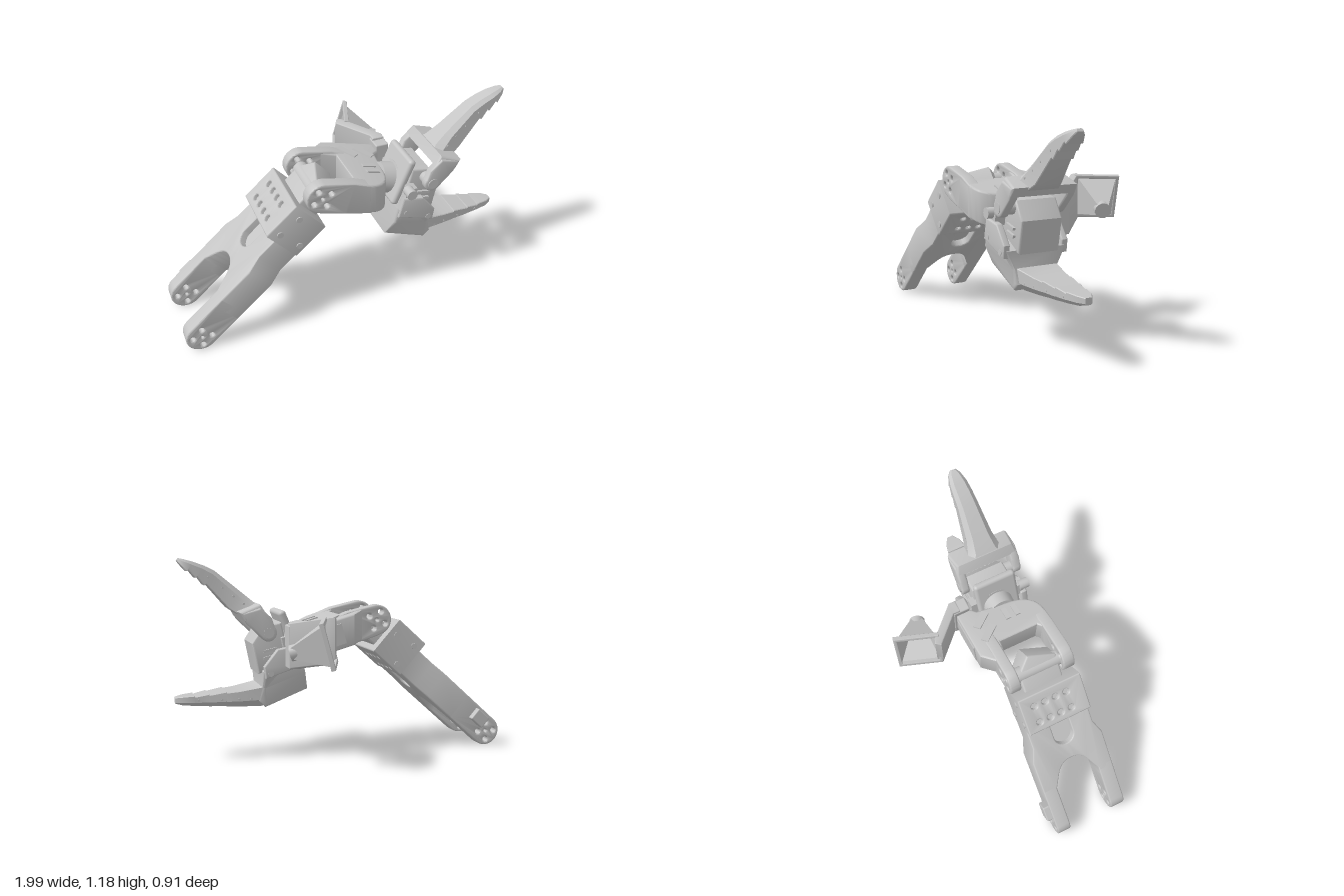
import * as THREE from 'three';
import { toCreasedNormals } from 'three/addons/utils/BufferGeometryUtils.js';
import { RoundedBoxGeometry } from 'three/addons/geometries/RoundedBoxGeometry.js';

const grey = new THREE.MeshStandardMaterial({ color: 0xc4c4c4, side: THREE.DoubleSide });
grey.name = 'machined grey';

function add(parent, name, geo, pos = [0, 0, 0], rot = [0, 0, 0]) {
  const m = new THREE.Mesh(geo, grey);
  m.name = name;
  m.position.set(...pos);
  m.rotation.set(...rot);
  parent.add(m);
  return m;
}

const poly = pts => new THREE.Shape(pts.map(p => new THREE.Vector2(...p)));

function hole(shape, x, y, r) {
  shape.holes.push(new THREE.Path().absarc(x, y, r, 0, Math.PI * 2, true));
}

// One centre hole and four around it
function boltCircle(shape, x, y, turn) {
  hole(shape, x, y, 0.009);
  for (let i = 0; i < 4; i++) {
    const a = turn + i * Math.PI / 2;
    hole(shape, x + 0.054 * Math.cos(a), y + 0.054 * Math.sin(a), 0.016);
  }
  return shape;
}

// Side outline extruded from z0 to z1 with a softened edge
function side(shape, z0, z1, b = 0.012) {
  const g = new THREE.ExtrudeGeometry(shape, {
    depth: z1 - z0 - 2 * b, bevelEnabled: b > 0, bevelSize: b, bevelThickness: b,
    bevelOffset: -b, bevelSegments: 3, curveSegments: 16,
  });
  g.translate(0, 0, z0 + b);
  return toCreasedNormals(g, 0.6);
}

// Plan outline (x, z) extruded from y0 to y1
function plan(shape, y0, y1, b = 0.012) {
  return side(shape, -y1, -y0, b).rotateX(Math.PI / 2);
}

// Moves every vertex by a rule
function bend(geo, rule) {
  const pos = geo.attributes.position, v = new THREE.Vector3();
  for (let i = 0; i < pos.count; i++) {
    rule(v.fromBufferAttribute(pos, i));
    pos.setXYZ(i, v.x, v.y, v.z);
  }
  return toCreasedNormals(geo, 0.6);
}

// Finger through stations [x, yBottom, yTop, halfWidth]; chamfered on its outer face (out = 1 top, -1 bottom)
function finger(stations, out) {
  const ring = ([x, lo, hi, w]) => {
    const c = 0.38 * Math.min(hi - lo, w), s = 0.004;
    const t = out > 0 ? c : s, b = out > 0 ? s : c;
    return [[hi - t, -w], [hi, -w + t], [hi, w - t], [hi - t, w],
      [lo + b, w], [lo, w - b], [lo, -w + b], [lo + b, -w]].map(([y, z]) => [x, y, z]);
  };
  const rings = stations.map(ring), v = [], n = 8;
  for (let i = 0; i < rings.length - 1; i++) for (let j = 0; j < n; j++) {
    const a = rings[i][j], b = rings[i][(j + 1) % n], c = rings[i + 1][j], d = rings[i + 1][(j + 1) % n];
    v.push(...a, ...b, ...d, ...a, ...d, ...c);
  }
  const s = rings[0], e = rings[rings.length - 1];
  for (let j = 1; j < n - 1; j++) v.push(...s[0], ...s[j + 1], ...s[j], ...e[0], ...e[j], ...e[j + 1]);
  const g = new THREE.BufferGeometry();
  g.setAttribute('position', new THREE.Float32BufferAttribute(v, 3));
  return toCreasedNormals(g, 0.6);
}

const zCyl = (r, len, n = 24) => new THREE.CylinderGeometry(r, r, len, n).rotateX(Math.PI / 2);

function buildForearm(root) {
  const arm = new THREE.Group();
  arm.name = 'forearm';
  arm.position.set(-0.91, 0.09, 0);
  arm.rotation.z = THREE.MathUtils.degToRad(42);
  root.add(arm);
  // Fork legs with a bolt circle in each round end
  for (const [z0, z1] of [[0, 0.085], [0.365, 0.455]]) {
    const s = new THREE.Shape();
    s.moveTo(0.26, 0.09).lineTo(0, 0.09);
    s.absarc(0, 0, 0.09, Math.PI / 2, Math.PI * 1.5, false);
    s.lineTo(0.26, -0.09);
    add(arm, 'forkLeg', side(boltCircle(s, 0, 0, -0.733), z0, z1, 0.008));
  }
  // Palm of the fork, with a rounded notch and a shallow slot on both faces
  const p = new THREE.Shape();
  p.moveTo(0.2, 0).lineTo(0.47, 0).lineTo(0.56, 0.03).lineTo(0.72, 0.03).lineTo(0.72, 0.42)
    .lineTo(0.56, 0.42).lineTo(0.47, 0.455).lineTo(0.2, 0.455).lineTo(0.2, 0.365).lineTo(0.25, 0.365);
  p.bezierCurveTo(0.33, 0.32, 0.4, 0.31, 0.4, 0.225);
  p.bezierCurveTo(0.4, 0.14, 0.33, 0.13, 0.25, 0.085);
  p.lineTo(0.2, 0.085);
  const slot = new THREE.Path();
  slot.moveTo(0.66, 0.17).lineTo(0.56, 0.17);
  slot.absarc(0.56, 0.23, 0.06, -Math.PI / 2, Math.PI / 2, true);
  slot.lineTo(0.66, 0.29);
  p.holes.push(slot);
  add(arm, 'forkPalm', plan(p, -0.09, 0.09, 0.008));
  add(arm, 'slotFloor', new THREE.BoxGeometry(0.22, 0.09, 0.18), [0.58, 0, 0.23]);
  add(arm, 'cableBoss', new RoundedBoxGeometry(0.1, 0.08, 0.05, 2, 0.008), [0.1, 0.03, -0.012]);
  // Collar with rows of pockets in its top and bottom
  const c = poly([[0.68, 0.03], [0.91, 0.03], [0.91, 0.42], [0.68, 0.42]]);
  for (const x of [0.735, 0.84]) for (let i = 0; i < 4; i++) hole(c, x, 0.11 + i * 0.067, 0.018);
  add(arm, 'collar', plan(c, -0.1, 0.15, 0.008));
  add(arm, 'collarCore', new THREE.BoxGeometry(0.21, 0.2, 0.36), [0.795, 0.025, 0.225]);
  for (const [x, y] of [[0.73, 0.09], [0.74, -0.06], [0.86, 0.07]]) for (const z of [0.03, 0.42])
    add(arm, 'collarScrew', zCyl(0.018, 0.012), [x, y, z]);
  // Elbow servo
  add(arm, 'elbowServo', plan(poly([[0.87, 0.1], [1.02, 0.1], [1.11, 0.18], [1.05, 0.34], [0.87, 0.34]]), -0.06, 0.085));
  add(arm, 'elbowShaft', zCyl(0.045, 0.28), [1.01, 0.046, 0.22]);
}

function buildWristLink(root) {
  const link = new THREE.Group();
  link.name = 'wristLink';
  root.add(link);
  // Two cheeks around the elbow
  for (const [z0, z1] of [[0.02, 0.085], [0.35, 0.42]]) {
    const s = new THREE.Shape();
    s.moveTo(0.1, 0.825).lineTo(0, 0.865);
    s.absarc(-0.185, 0.814, 0.09, 1.4, 4.2, false);
    s.bezierCurveTo(-0.15, 0.7, -0.08, 0.69, 0, 0.665);
    s.lineTo(0.1, 0.64);
    add(link, 'elbowCheek', side(boltCircle(s, -0.185, 0.814, 0.43), z0, z1, 0.008));
  }
  // Body, sheared so that it slopes down toward the wrist
  const p = new THREE.Shape();
  p.moveTo(-0.02, 0.42).lineTo(-0.02, 0.36).lineTo(0.02, 0.33).lineTo(0.02, 0.1).lineTo(-0.1, 0.08)
    .lineTo(-0.1, 0.03).lineTo(-0.02, -0.045).lineTo(0.33, -0.045).lineTo(0.33, 0.02).lineTo(0.27, 0.07).lineTo(0.24, 0.28);
  p.bezierCurveTo(0.22, 0.37, 0.18, 0.42, 0.08, 0.42);
  add(link, 'linkBody', bend(plan(p, 0.67, 0.855), v => { v.y -= 0.28 * v.x; }));
  // Raised ribs on the top and a cover on the back
  const tilt = -Math.atan(0.28);
  const rib = (x, z, w, d, turn) => {
    const geo = new THREE.BoxGeometry(w, 0.016, d).rotateY(turn);
    add(link, 'topRib', geo, [x, 0.855 - 0.28 * x, z], [0, 0, tilt]);
  };
  rib(0.1, 0.065, 0.12, 0.045, -0.85);
  rib(0.2, 0.065, 0.12, 0.045, -0.85);
  rib(0.17, 0.21, 0.08, 0.03, 0);
  rib(0.17, 0.27, 0.08, 0.03, 0);
  add(link, 'backCover', new THREE.BoxGeometry(0.22, 0.12, 0.009), [0.15, 0.72, -0.047], [0, 0, tilt]);
  // Wrist joint
  const wrist = new THREE.Group();
  wrist.name = 'wristJoint';
  wrist.position.set(0.28, 0.71, 0.22);
  wrist.rotation.z = -0.3;
  link.add(wrist);
  add(wrist, 'wristDrum', new THREE.CylinderGeometry(0.085, 0.095, 0.12, 32).rotateZ(Math.PI / 2));
  add(wrist, 'wristFlange', new THREE.CylinderGeometry(0.105, 0.105, 0.03, 32).rotateZ(Math.PI / 2), [0.03, 0, 0]);
}

function buildCamera(root) {
  const cam = new THREE.Group();
  cam.name = 'cameraMount';
  root.add(cam);
  add(cam, 'mountPlate', new RoundedBoxGeometry(0.08, 0.25, 0.1, 2, 0.008), [0.335, 0.68, -0.01]);
  // Slanted bracket
  const b = plan(poly([[0.3, -0.02], [0.3, -0.06], [0.14, -0.21], [0.16, -0.24], [0.19, -0.23], [0.37, -0.06], [0.37, -0.02]]), 0.56, 0.82, 0.006);
  add(cam, 'bracket', bend(b, v => { v.y += 0.28 * Math.max(0, -0.08 - v.z); }));
  // Hollow square hood narrowing to a round lens
  const hood = new THREE.Group();
  hood.name = 'cameraHood';
  hood.position.set(0.22, 0.73, -0.325);
  hood.lookAt(1.12, 0.48, 0.015);
  hood.rotateZ(-0.04);
  cam.add(hood);
  const square = h => [[-h, -h], [h, -h], [h, h], [-h, h]];
  const rim = poly(square(0.13));
  rim.holes.push(new THREE.Path(square(0.11).reverse().map(p => new THREE.Vector2(...p))));
  add(hood, 'hoodFrame', side(rim, -0.013, 0.013, 0.003));
  const cone = new THREE.CylinderGeometry(0.045, 0.158, 0.2, 4, 1, true).rotateY(Math.PI / 4).rotateX(Math.PI / 2);
  add(hood, 'hoodPyramid', toCreasedNormals(cone, 0.6), [0, 0, 0.105]);
  add(hood, 'lens', zCyl(0.045, 0.04), [0, 0, 0.195]);
}

function buildGripper(root) {
  const grip = new THREE.Group();
  grip.name = 'gripper';
  root.add(grip);
  // Rounded back plate and servo
  add(grip, 'backPlate', new RoundedBoxGeometry(0.045, 0.29, 0.26, 4, 0.02), [0.325, 0.74, 0.23], [0, 0, -0.38]);
  add(grip, 'jawServo', side(poly([[0.32, 0.56], [0.52, 0.51], [0.555, 0.69], [0.49, 0.79], [0.38, 0.81]]), 0.1, 0.345));
  add(grip, 'servoShaft', zCyl(0.035, 0.34), [0.46, 0.75, 0.24]);
  add(grip, 'sideKnob', zCyl(0.03, 0.06), [0.34, 0.71, 0.41]);
  add(grip, 'knobBracket', new THREE.BoxGeometry(0.06, 0.08, 0.34), [0.35, 0.69, 0.235], [0, 0, -0.22]);
  for (const y of [0.61, 0.65])
    add(grip, 'servoRib', new THREE.BoxGeometry(0.08, 0.015, 0.27), [0.45, y, 0.225], [0, 0, -0.22]);
  // Fixed lower jaw, its palm narrowing downward
  const palm = side(poly([[0.225, 0.41], [0.48, 0.312], [0.52, 0.35], [0.5, 0.43], [0.5, 0.53], [0.36, 0.6], [0.27, 0.61], [0.25, 0.52]]), 0.04, 0.41, 0.02);
  add(grip, 'lowerPalm', bend(palm, v => {
    const k = THREE.MathUtils.clamp((v.y - 0.42) / 0.1, 0, 1);
    v.z = 0.222 + (v.z - 0.222) * (0.7 + 0.3 * k);
  }));
  for (const z of [0.05, 0.4])
    add(grip, 'palmCheek', side(poly([[0.27, 0.56], [0.49, 0.49], [0.5, 0.56], [0.42, 0.66], [0.3, 0.68]]), z - 0.02, z + 0.02, 0.008));
  for (const [x, y] of [[0.32, 0.58], [0.46, 0.52]]) for (const z of [0.033, 0.417])
    add(grip, 'palmScrew', zCyl(0.016, 0.012), [x, y, z]);
  add(grip, 'lowerFinger', finger([[0.44, 0.33, 0.48, 0.125], [0.5, 0.312, 0.435, 0.122], [0.63, 0.316, 0.412, 0.1],
    [0.7, 0.32, 0.405, 0.089], [0.703, 0.32, 0.411, 0.088], [0.8, 0.325, 0.395, 0.075], [0.803, 0.325, 0.401, 0.074],
    [0.88, 0.33, 0.386, 0.06], [0.883, 0.33, 0.393, 0.06], [0.95, 0.336, 0.388, 0.045], [0.99, 0.345, 0.382, 0.02]], -1), [0, 0, 0.22]);
  for (const [x, w] of [[0.56, 0.113], [0.63, 0.102], [0.73, 0.087], [0.86, 0.066]])
    add(grip, 'fingerPin', zCyl(0.007, 2 * w, 10), [x, 0.365, 0.22]);
  // Moving upper jaw
  for (const z of [0.075, 0.41]) {
    const s = new THREE.Shape();
    s.moveTo(0.51, 0.9).lineTo(0.445, 0.84);
    s.absarc(0.465, 0.755, 0.05, 2.4, 5.6, false);
    s.lineTo(0.59, 0.81).lineTo(0.62, 0.87);
    add(grip, 'jawYoke', side(s, z - 0.025, z + 0.025));
    add(grip, 'yokeHub', zCyl(0.03, 0.058), [0.465, 0.755, z]);
  }
  // Cross bar, its upper corners drawn in
  const bridge = side(poly([[0.475, 0.865], [0.51, 0.92], [0.63, 0.875], [0.6, 0.825]]), 0.05, 0.435);
  add(grip, 'jawBridge', bend(bridge, v => {
    v.z = 0.2425 + (v.z - 0.2425) * (1 - 1.5 * Math.max(0, v.y - 0.86));
  }));
  const upper = new THREE.Group();
  upper.name = 'upperJaw';
  upper.position.set(0.5, 0.85, 0.255);
  upper.rotation.z = THREE.MathUtils.degToRad(38);
  grip.add(upper);
  add(upper, 'upperFinger', finger([[0.03, -0.05, 0.04, 0.12], [0.07, -0.066, 0.045, 0.1], [0.16, -0.073, 0.048, 0.078],
    [0.347, -0.036, 0.054, 0.06], [0.35, -0.05, 0.054, 0.06], [0.412, -0.032, 0.042, 0.056], [0.415, -0.046, 0.042, 0.056],
    [0.475, -0.032, 0.022, 0.05], [0.478, -0.046, 0.022, 0.05], [0.53, -0.037, 0, 0.035], [0.555, -0.03, -0.012, 0.018]], 1));
  for (const [x, w] of [[0.11, 0.094], [0.18, 0.079], [0.26, 0.072], [0.36, 0.063]])
    add(upper, 'fingerPin', zCyl(0.007, 2 * w, 10), [x, 0, 0]);
}

export function createModel() {
  const root = new THREE.Group();
  root.name = 'roboticGripperArm';
  buildForearm(root);
  buildWristLink(root);
  buildCamera(root);
  buildGripper(root);
  return root;
}
